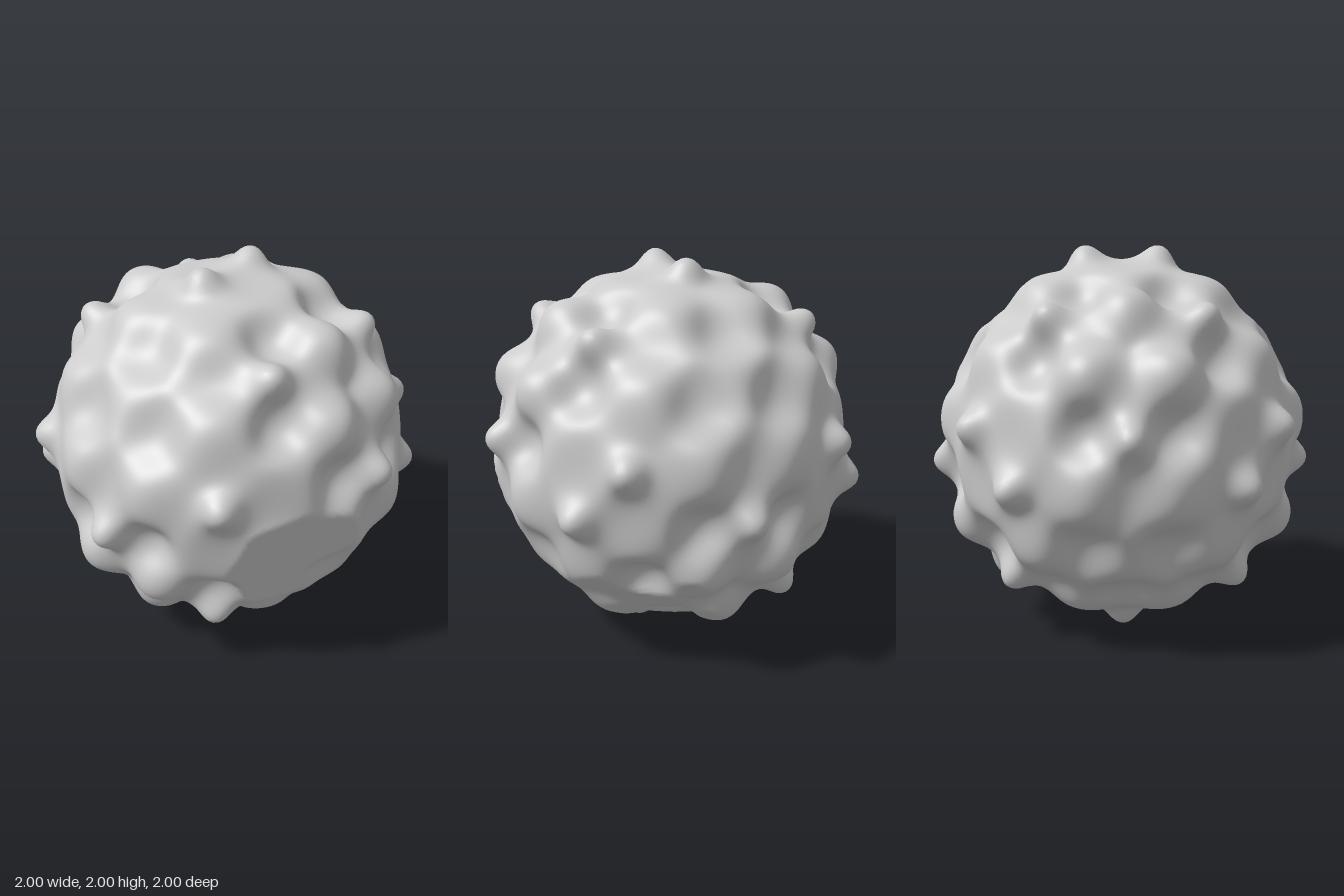
import * as THREE from 'three';
import { mergeVertices } from 'three/addons/utils/BufferGeometryUtils.js';

const SCALE = 0.93;   // radius of the undisturbed ball
const WAVES = 10;     // bump frequency
const HEIGHT = 0.1;   // bump height on a unit ball

// Worn flat spots: outward normal and distance from the centre
const flats = [
  { normal: new THREE.Vector3(0.25, -0.3, 0.92).normalize(), distance: 0.87 },
  { normal: new THREE.Vector3(0.72, -0.69, -0.1).normalize(), distance: 0.91 },
];

// Product-of-sines bump field
const bump = (x, y, z) =>
  HEIGHT * Math.sin(WAVES * x) * Math.sin(WAVES * y) * Math.sin(WAVES * z);

// Distance to the bumpy surface along a unit direction, found by bisection
function surfaceRadius(d) {
  let lo = 0.85, hi = 1.15;
  for (let i = 0; i < 24; i++) {
    const r = (lo + hi) / 2;
    if (r - 1 - bump(d.x * r, d.y * r, d.z * r) < 0) lo = r;
    else hi = r;
  }
  let radius = SCALE * (lo + hi) / 2;
  for (const { normal, distance } of flats) {
    const facing = normal.dot(d);
    if (facing > 0.5) radius = Math.min(radius, distance / facing);
  }
  return radius;
}

export function createModel() {
  const group = new THREE.Group();
  group.name = 'bumpySphere';

  // Evenly divided ball, welded so that the normals come out smooth
  let geometry = new THREE.IcosahedronGeometry(1, 48);
  geometry.deleteAttribute('normal');
  geometry.deleteAttribute('uv');
  geometry = mergeVertices(geometry, 1e-4);

  // Push every vertex out to the bumpy surface
  const position = geometry.attributes.position;
  const d = new THREE.Vector3();
  for (let i = 0; i < position.count; i++) {
    d.fromBufferAttribute(position, i).normalize();
    d.multiplyScalar(surfaceRadius(d));
    position.setXYZ(i, d.x, d.y, d.z);
  }
  geometry.computeVertexNormals();

  const ball = new THREE.Mesh(geometry, new THREE.MeshStandardMaterial({ color: 0xcccccc }));
  ball.name = 'bumpyBall';
  ball.position.y = 1;
  group.add(ball);
  return group;
}
